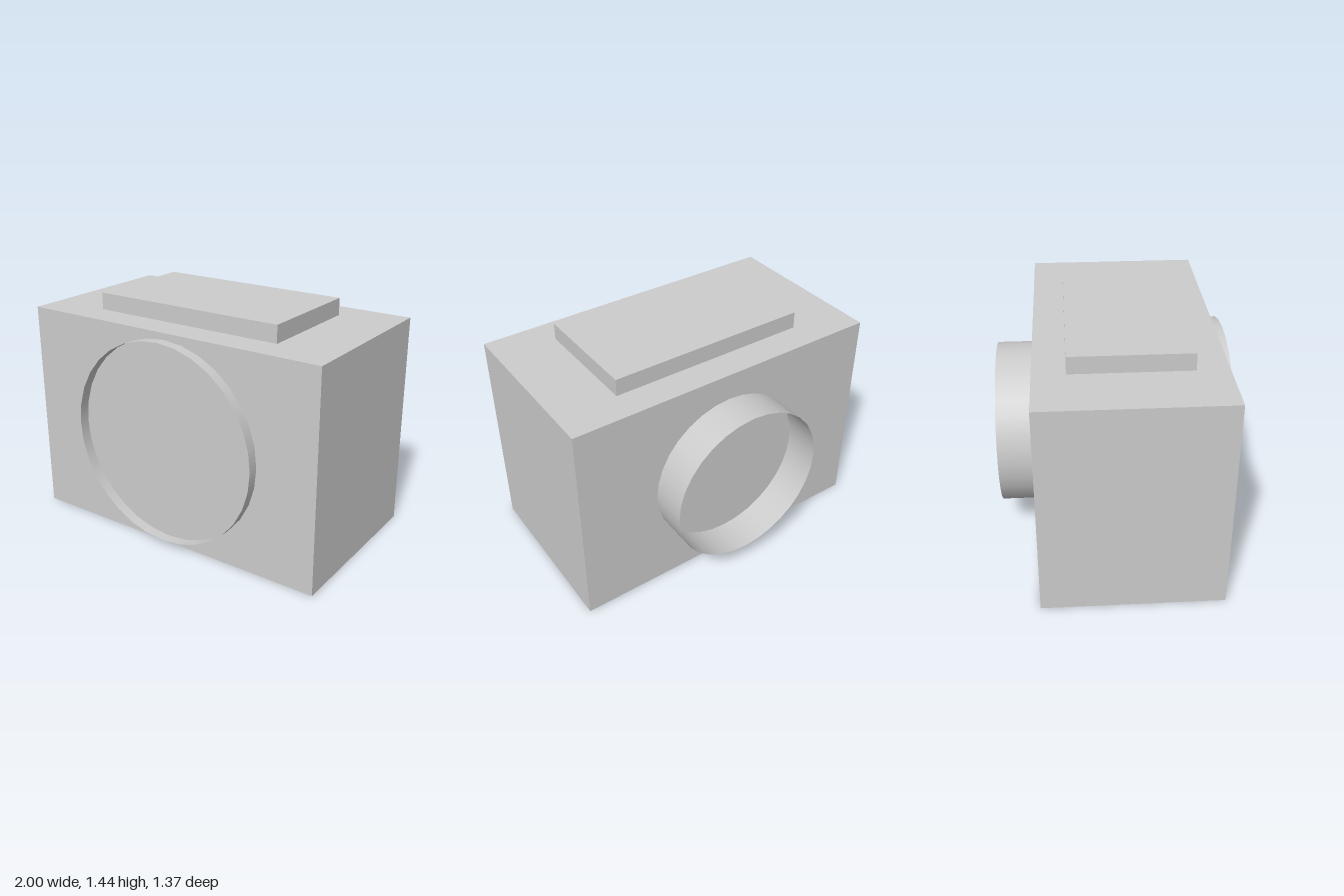
import * as THREE from 'three';

export function createModel() {
  const model = new THREE.Group();
  model.name = 'camera';
  const grey = new THREE.MeshStandardMaterial({ color: 0xcccccc, side: THREE.DoubleSide });
  grey.name = 'light grey';

  const add = (name, geometry, x, y, z) => {
    const mesh = new THREE.Mesh(geometry, grey);
    mesh.name = name;
    mesh.position.set(x, y, z);
    model.add(mesh);
    return mesh;
  };

  // Open thin-walled ring running along z
  const ring = (name, radius, z0, z1) => {
    const geometry = new THREE.CylinderGeometry(radius, radius, z1 - z0, 32, 1, true);
    geometry.rotateX(Math.PI / 2);
    return add(name, geometry, 0, 0.67, (z0 + z1) / 2);
  };

  // Main body and the raised plate on top
  add('body', new THREE.BoxGeometry(2, 1.335, 1.082), 0, 0.6675, 0.081);
  add('topPlate', new THREE.BoxGeometry(1.25, 0.105, 0.705), 0, 1.3875, 0.082);

  // Shallow front ring and deeper back ring
  ring('frontRing', 0.625, 0.622, 0.687);
  ring('backRing', 0.5, -0.687, -0.46);

  // Triangular flap spanning one quarter of the back ring's rim
  const flap = new THREE.Shape([
    new THREE.Vector2(0, 0),
    new THREE.Vector2(0.5, 0),
    new THREE.Vector2(0, 0.5),
  ]);
  const flapGeometry = new THREE.ShapeGeometry(flap);
  // Mirror through x and turn round so that it faces the back
  flapGeometry.scale(-1, 1, 1);
  flapGeometry.rotateY(Math.PI);
  flapGeometry.setIndex([...flapGeometry.index.array].reverse());
  flapGeometry.computeVertexNormals();
  add('backFlap', flapGeometry, 0, 0.67, -0.687);

  return model;
}
